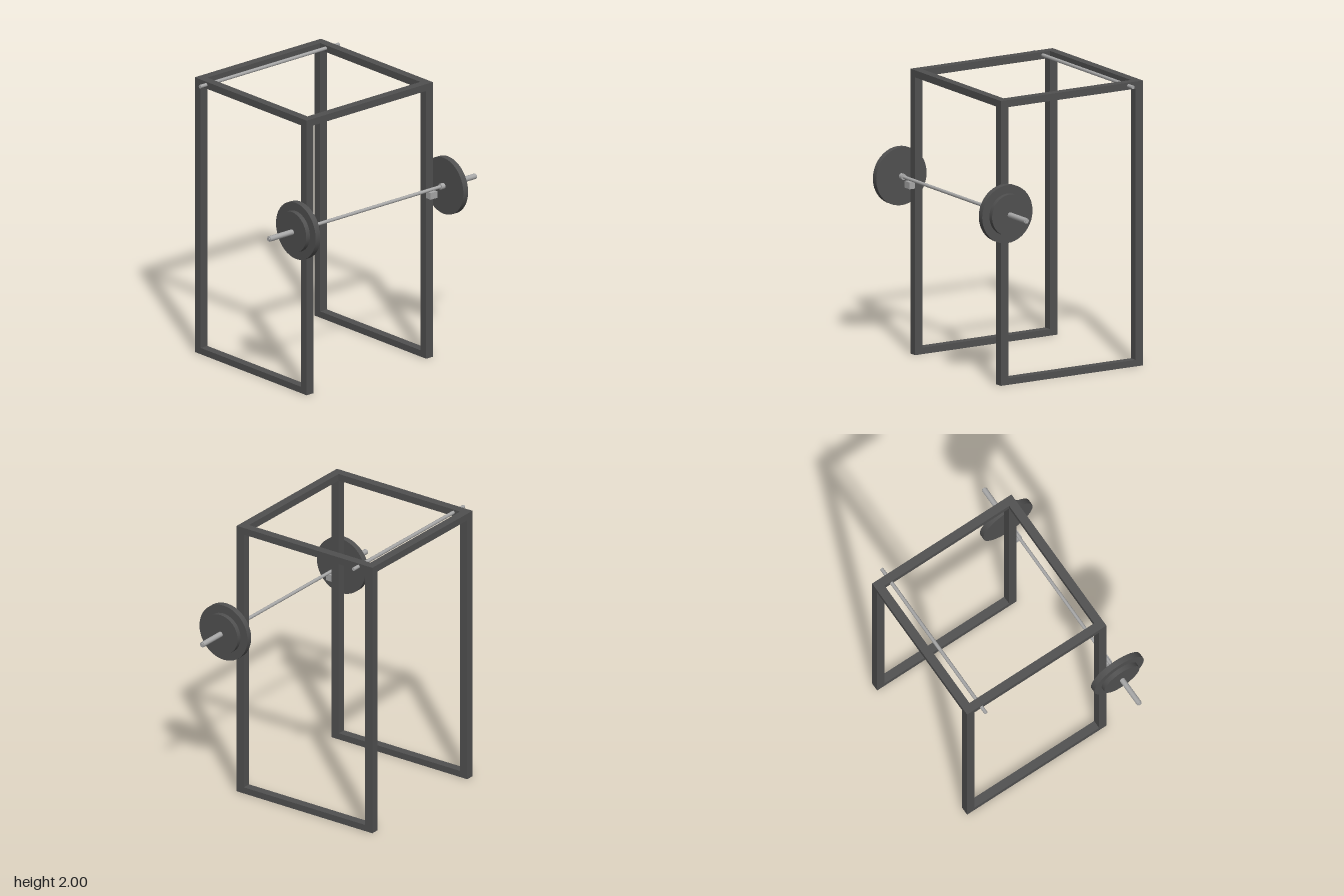
import * as THREE from 'three';

export function createModel() {
  const model = new THREE.Group();
  model.name = 'powerRack';

  const darkSteel = new THREE.MeshStandardMaterial({ color: 0x505050 });
  darkSteel.name = 'dark steel';
  const brightSteel = new THREE.MeshStandardMaterial({ color: 0xa8a8a8 });
  brightSteel.name = 'bright steel';

  const group = (name) => {
    const g = new THREE.Group();
    g.name = name;
    model.add(g);
    return g;
  };

  // Box given by its extents on each axis
  const box = (parent, name, [x0, x1], [y0, y1], [z0, z1], material) => {
    const mesh = new THREE.Mesh(new THREE.BoxGeometry(x1 - x0, y1 - y0, z1 - z0), material);
    mesh.position.set((x0 + x1) / 2, (y0 + y1) / 2, (z0 + z1) / 2);
    mesh.name = name;
    parent.add(mesh);
  };

  // Round part lying along x between two positions
  const rod = (parent, name, x0, x1, radius, y, z, sides, material) => {
    const geometry = new THREE.CylinderGeometry(radius, radius, Math.abs(x1 - x0), sides);
    geometry.rotateZ(Math.PI / 2);
    const mesh = new THREE.Mesh(geometry, material);
    mesh.position.set((x0 + x1) / 2, y, z);
    mesh.name = name;
    parent.add(mesh);
  };

  // Rack dimensions
  const outer = 0.577, inner = 0.516;
  const front = [0.402, 0.462], back = [-0.69, -0.629];
  const top = [1.95, 2], bottom = [0, 0.046];
  const between = [back[1], front[0]];

  const frame = group('frame');
  const hooks = group('barHooks');
  for (const side of [-1, 1]) {
    const x = side > 0 ? [inner, outer] : [-outer, -inner];
    // Uprights, then the rails joining them front to back
    box(frame, 'frontPost', x, [0, 2], front, darkSteel);
    box(frame, 'backPost', x, [0, 2], back, darkSteel);
    box(frame, 'topSideRail', x, top, between, darkSteel);
    box(frame, 'floorRail', x, bottom, between, darkSteel);
    // Block carrying the barbell on the front post
    box(hooks, 'barHook', x, [1.17, 1.218], [front[1], 0.508], brightSteel);
  }
  box(frame, 'topFrontRail', [-inner, inner], top, front, darkSteel);
  box(frame, 'topBackRail', [-inner, inner], top, back, darkSteel);

  // Pull-up bar through the top side rails
  rod(model, 'pullUpBar', -0.635, 0.635, 0.013, 1.978, -0.572, 8, brightSteel);

  // Barbell with a pair of plates at each end
  const barbell = group('barbell');
  const y = 1.233, z = 0.486;
  rod(barbell, 'barShaft', -0.63, 0.63, 0.012, y, z, 12, brightSteel);
  for (const s of [-1, 1]) {
    rod(barbell, 'collar', s * 0.622, s * 0.656, 0.021, y, z, 12, brightSteel);
    rod(barbell, 'sleeve', s * 0.65, s * 0.942, 0.0195, y, z, 12, brightSteel);
    rod(barbell, 'sleeveTip', s * 0.942, s * 0.95, 0.013, y, z, 12, brightSteel);
    rod(barbell, 'largePlate', s * 0.654, s * 0.697, 0.204, y, z, 40, darkSteel);
    rod(barbell, 'smallPlate', s * 0.697, s * 0.731, 0.145, y, z, 40, darkSteel);
  }

  return model;
}
